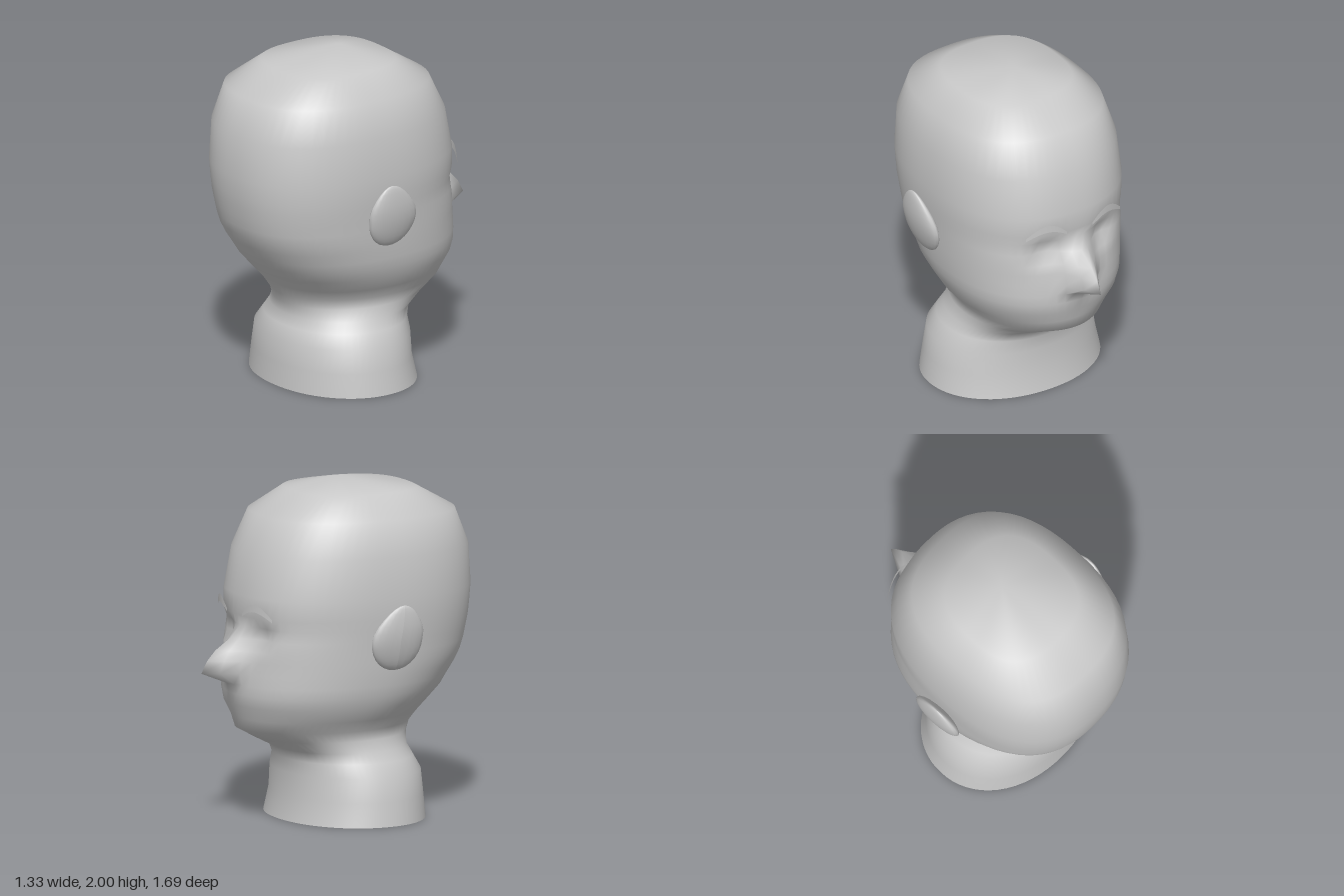
import * as THREE from 'three';

const skin = new THREE.MeshStandardMaterial({ color: 0xc8c8c8, side: THREE.DoubleSide });
skin.name = 'plain grey';

// Cross-sections: [height, half width, face z, rear z, roundness power, nose length]
const RINGS = [
  [0.00, 0.555, -0.33, 0.54, 2.1, 0],
  [0.14, 0.53, -0.30, 0.53, 2.1, 0],
  [0.28, 0.505, -0.30, 0.52, 2.1, 0],
  [0.36, 0.45, -0.30, 0.48, 2.1, 0],
  [0.42, 0.415, -0.33, 0.45, 2.1, 0],
  [0.49, 0.395, -0.47, 0.465, 2.0, 0],
  [0.55, 0.40, -0.58, 0.49, 2.0, 0],
  [0.62, 0.455, -0.59, 0.53, 2.1, 0],
  [0.70, 0.495, -0.625, 0.60, 2.2, 0],
  [0.77, 0.52, -0.63, 0.66, 2.3, 0.01],
  [0.83, 0.53, -0.63, 0.70, 2.3, 0.04],
  [0.90, 0.54, -0.62, 0.745, 2.35, 0.222],
  [0.97, 0.547, -0.61, 0.78, 2.4, 0.195],
  [1.03, 0.552, -0.61, 0.80, 2.4, 0.14],
  [1.10, 0.558, -0.60, 0.815, 2.4, 0.045],
  [1.17, 0.565, -0.585, 0.828, 2.4, 0],
  [1.23, 0.57, -0.60, 0.835, 2.4, 0],
  [1.35, 0.577, -0.598, 0.845, 2.4, 0],
  [1.59, 0.562, -0.55, 0.83, 2.4, 0],
  [1.80, 0.495, -0.44, 0.74, 2.6, 0],
  [1.93, 0.345, -0.23, 0.51, 2.7, 0],
];
const SEGMENTS = 64;

// Head and neck lofted through the rings, open at the neck
function headGeometry() {
  const pos = [], index = [];
  for (const [y, w, zf, zb, n, nose] of RINGS) {
    const zc = (zf + zb) / 2, d = (zb - zf) / 2;
    for (let j = 0; j < SEGMENTS; j++) {
      const t = (j / SEGMENTS) * Math.PI * 2, s = Math.sin(t), c = Math.cos(t);
      const r = (Math.abs(s) ** n + Math.abs(c) ** n) ** (-1 / n);
      const x = w * r * s;
      let z = zc - d * r * c;
      if (c > 0) {
        z -= nose * Math.max(0, 1 - Math.abs(x) / 0.125);
        // Eye sockets
        z += 0.06 * Math.exp(-(((Math.abs(x) - 0.19) / 0.085) ** 2) - ((y - 1.11) / 0.07) ** 2);
      }
      pos.push(x, y, z);
    }
  }
  for (let i = 0; i < RINGS.length - 1; i++) {
    for (let j = 0; j < SEGMENTS; j++) {
      const a = i * SEGMENTS + j, b = i * SEGMENTS + ((j + 1) % SEGMENTS);
      index.push(a, a + SEGMENTS, b, b, a + SEGMENTS, b + SEGMENTS);
    }
  }
  // Crown point
  const top = pos.length / 3, last = top - SEGMENTS;
  pos.push(0, 2, 0.06);
  for (let j = 0; j < SEGMENTS; j++) index.push(last + j, top, last + ((j + 1) % SEGMENTS));
  const g = new THREE.BufferGeometry();
  g.setAttribute('position', new THREE.Float32BufferAttribute(pos, 3));
  g.setIndex(index);
  g.computeVertexNormals();
  return g;
}

// Flattened teardrop leaning outward, pointed at the top
function earGeometry(side) {
  const g = new THREE.SphereGeometry(1, 20, 14);
  const p = g.attributes.position;
  for (let i = 0; i < p.count; i++) {
    const v = p.getY(i), taper = v > 0.3 ? 1 - 0.25 * (v - 0.3) / 0.7 : 1;
    p.setXYZ(i,
      side * 0.607 + p.getX(i) * 0.047 * taper + side * 0.035 * v,
      1.11 + v * (v > 0 ? 0.21 : 0.18),
      0.125 + p.getZ(i) * 0.167 * taper + 0.03 * Math.max(0, v));
  }
  g.computeVertexNormals();
  return g;
}

// Thin arched brow wrapped around the forehead
function browGeometry(side) {
  const g = new THREE.PlaneGeometry(1, 1, 12, 1);
  const p = g.attributes.position;
  for (let i = 0; i < p.count; i++) {
    const u = p.getX(i) + 0.5, v = p.getY(i) + 0.5;
    const thick = 0.018 + 0.027 * Math.sin(Math.PI * u);
    p.setXYZ(i,
      side * (0.09 + 0.24 * u),
      1.215 + 0.06 * Math.sin(Math.PI * (0.1 + 0.85 * u)) + thick * v,
      -0.622 + 0.07 * u * u);
  }
  g.computeVertexNormals();
  return g;
}

export function createModel() {
  const model = new THREE.Group();
  model.name = 'headBust';
  const add = (name, geometry) => {
    const mesh = new THREE.Mesh(geometry, skin);
    mesh.name = name;
    model.add(mesh);
  };
  add('headAndNeck', headGeometry());
  // The face looks toward -z
  for (const [label, side] of [['left', 1], ['right', -1]]) {
    add(label + 'Ear', earGeometry(side));
    add(label + 'Eyebrow', browGeometry(side));
  }
  return model;
}
